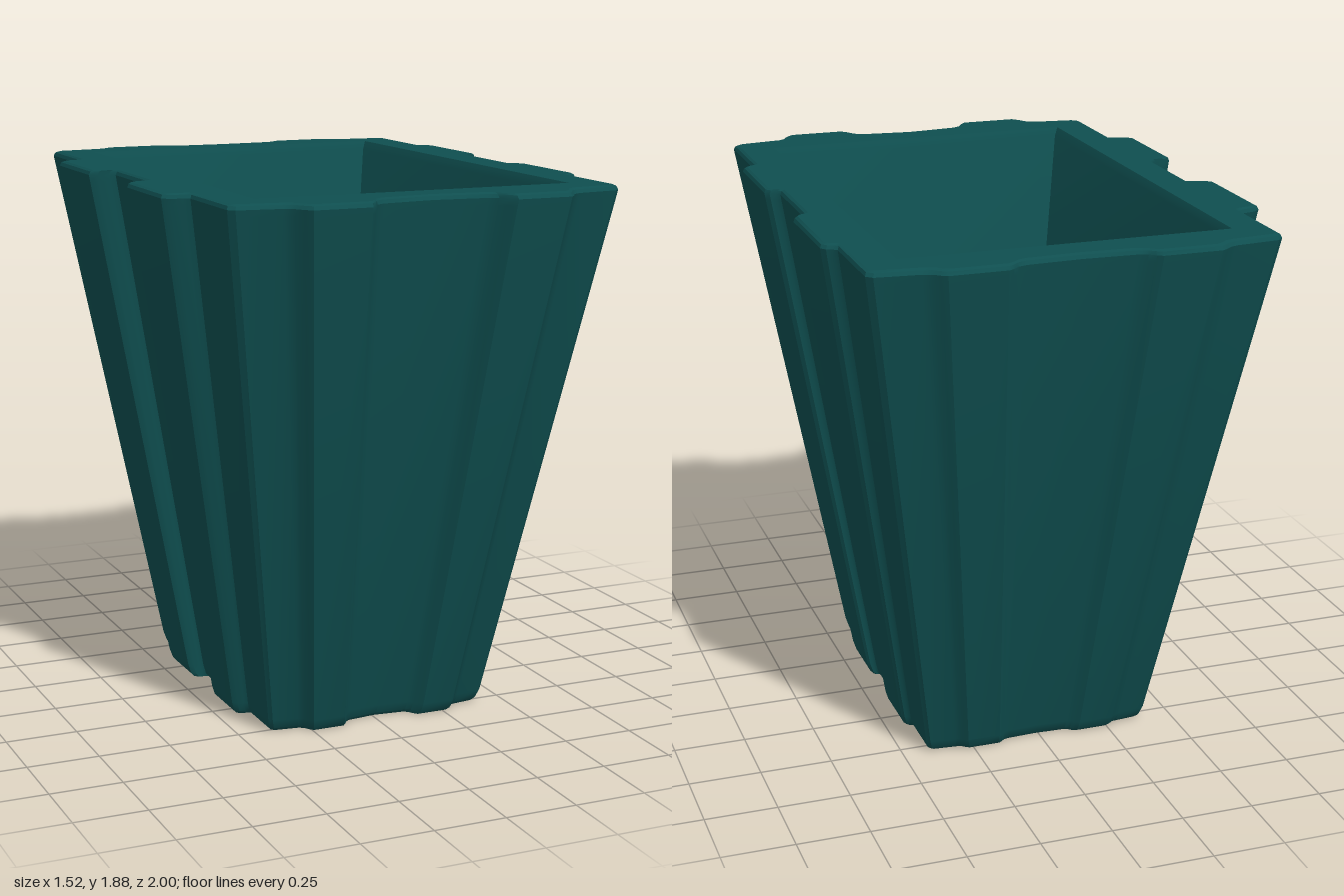
import * as THREE from 'three';
import { toCreasedNormals } from 'three/addons/utils/BufferGeometryUtils.js';

const HEIGHT = 1.875, FOOT_SCALE = 0.585, FLOOR_Y = 0.09;
const material = new THREE.MeshStandardMaterial({ color: 0x0f4f50 });

// One raised rib along a side, as [along, out] pairs with flared feet
function rib(from, to, base, out, flare) {
  const mid = base + (out - base) * 0.7, foot = base + (out - base) * 0.25;
  return [
    [from - flare, base], [from - flare * 0.4, foot], [from, mid], [from + 0.02, out],
    [to - 0.02, out], [to, mid], [to + flare * 0.4, foot], [to + flare, base],
  ];
}

// Ribbed outline in (x, z) at full width, going front, right, back, left
function ribbedOutline() {
  const front = [[-0.655, 0.905], ...rib(-0.455, -0.215, 0.925, 1, 0.05), [0.02, 0.905],
    ...rib(0.255, 0.49, 0.925, 1, 0.05), [0.69, 0.905]];
  const back = [[-0.655, 0.945], ...rib(-0.455, -0.215, 0.96, 1, 0.05), [0.02, 0.952],
    ...rib(0.255, 0.49, 0.96, 1, 0.05), [0.69, 0.945]];
  const flank = (base, out) => [[-0.925, base], ...rib(-0.59, -0.205, base, out, 0.02),
    ...rib(0.17, 0.545, base, out, 0.02), [0.885, base]];
  return [
    ...front,
    ...flank(0.71, 0.757).reverse().map(([z, x]) => [x, z]),
    ...back.reverse().map(([x, z]) => [x, -z]),
    ...flank(0.675, 0.76).map(([z, x]) => [-x, z]),
  ];
}

const rectangle = (x0, x1, z0, z1) => [[x0, z1], [x1, z1], [x1, z0], [x0, z0]];
const scaled = (outline, s) => outline.map(([x, z]) => [x * s, z * s]);

// Skin between successive rings { y, pts }
function loft(rings) {
  const pos = [];
  for (let r = 0; r < rings.length - 1; r++) {
    const a = rings[r], b = rings[r + 1], n = a.pts.length;
    for (let i = 0; i < n; i++) {
      const j = (i + 1) % n;
      const p = (ring, k) => [ring.pts[k][0], ring.y, ring.pts[k][1]];
      pos.push(...p(a, i), ...p(a, j), ...p(b, j), ...p(a, i), ...p(b, j), ...p(b, i));
    }
  }
  const geo = new THREE.BufferGeometry();
  geo.setAttribute('position', new THREE.Float32BufferAttribute(pos, 3));
  return toCreasedNormals(geo, 0.5);
}

// Flat horizontal face, optionally with an opening
function cap(outline, y, up, hole) {
  const sign = up ? -1 : 1;
  const flat = (pts) => pts.map(([x, z]) => new THREE.Vector2(x, sign * z));
  const shape = new THREE.Shape(flat(outline));
  if (hole) shape.holes.push(new THREE.Path(flat(hole)));
  return new THREE.ShapeGeometry(shape).rotateX(sign * Math.PI / 2).translate(0, y, 0);
}

export function createModel() {
  const group = new THREE.Group();
  group.name = 'planter';
  const add = (name, geometry) => {
    const mesh = new THREE.Mesh(geometry, material);
    mesh.name = name;
    group.add(mesh);
  };

  // Tapered ribbed wall with softened top and bottom edges
  const outline = ribbedOutline();
  const levels = [[0, FOOT_SCALE * 0.96], [0.012, FOOT_SCALE * 0.985], [0.045, FOOT_SCALE + 0.005],
    [1.835, 0.995], [1.858, 1], [1.87, 0.993], [HEIGHT, 0.98]];
  const rings = levels.map(([y, s]) => ({ y, pts: scaled(outline, s) }));
  add('ribbedWall', loft(rings));
  add('base', cap(rings[0].pts, 0, false));

  // Rim and tapering cavity
  const mouth = rectangle(-0.545, 0.58, -0.825, 0.785);
  const throat = rectangle(-0.53, 0.565, -0.81, 0.77);
  const floor = rectangle(-0.26, 0.295, -0.44, 0.4);
  add('rim', cap(rings[rings.length - 1].pts, HEIGHT, true, mouth));
  add('cavity', loft([{ y: HEIGHT, pts: mouth }, { y: HEIGHT - 0.03, pts: throat }, { y: FLOOR_Y, pts: floor }]));
  add('cavityFloor', cap(floor, FLOOR_Y, true));
  return group;
}
